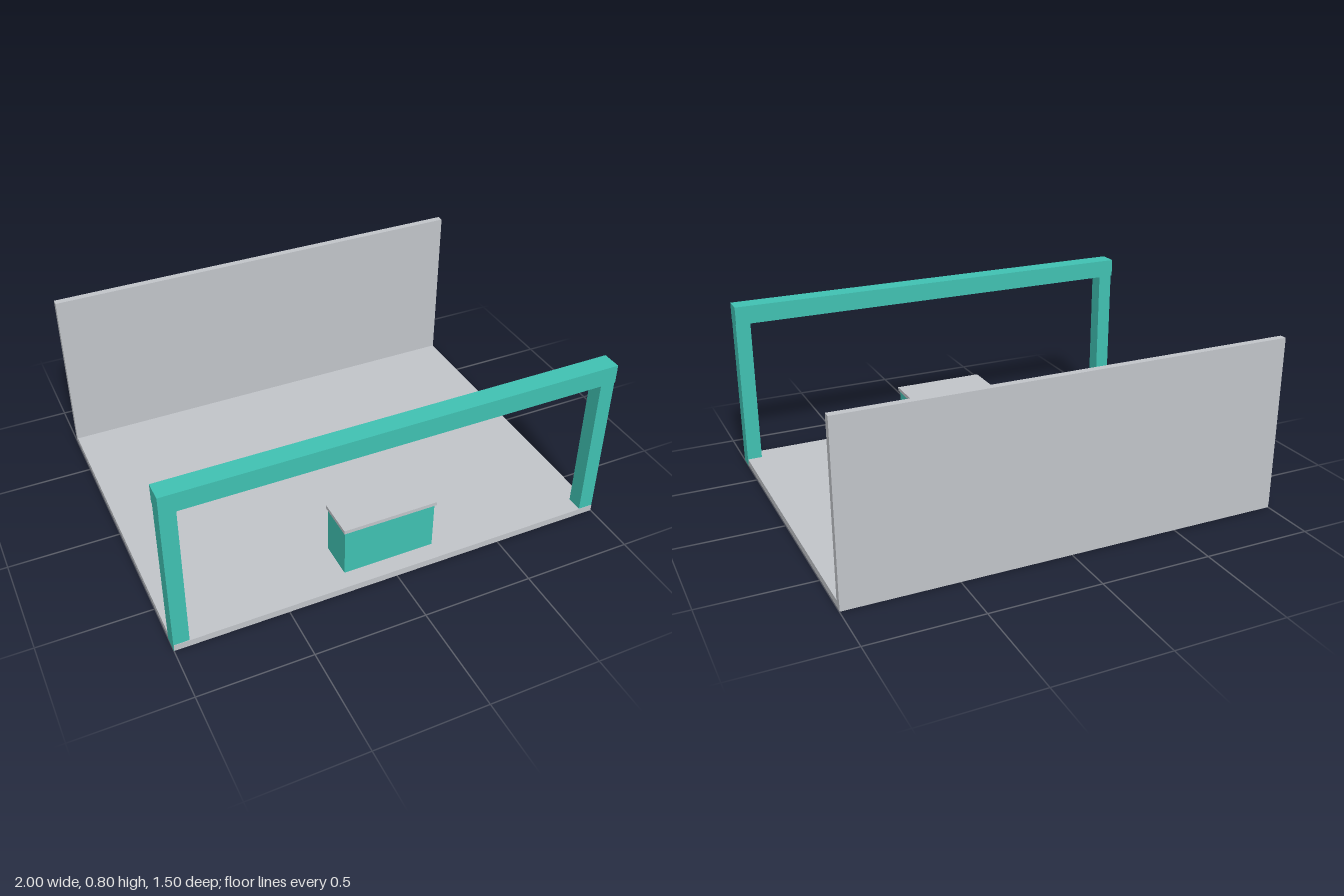
import * as THREE from 'three';

export function createModel() {
  const model = new THREE.Group();
  const grey = new THREE.MeshStandardMaterial({ color: 0xc1c4c9 });
  grey.name = 'light grey';
  const teal = new THREE.MeshStandardMaterial({ color: 0x40c1b2 });
  teal.name = 'teal';

  // Box given by its lower and upper limits on each axis
  function box(name, material, [x0, x1], [y0, y1], [z0, z1], parent = model) {
    const mesh = new THREE.Mesh(new THREE.BoxGeometry(x1 - x0, y1 - y0, z1 - z0), material);
    mesh.position.set((x0 + x1) / 2, (y0 + y1) / 2, (z0 + z1) / 2);
    mesh.name = name;
    parent.add(mesh);
  }

  // Floor slab, a hair inside the post feet so faces never coincide
  box('floor', grey, [-0.999, 0.999], [0.001, 0.032], [-0.752, 0.75]);
  box('backWall', grey, [-1, 1], [0.03, 0.8], [-0.752, -0.72]);

  // Front gate: two posts sunk through the floor, and a beam
  const gate = new THREE.Group();
  gate.name = 'frontFrame';
  model.add(gate);
  box('leftPost', teal, [0.932, 1], [0, 0.72], [0.675, 0.748], gate);
  box('rightPost', teal, [-1, -0.932], [0, 0.72], [0.675, 0.748], gate);
  box('topBeam', teal, [-1, 1], [0.715, 0.8], [0.665, 0.752], gate);

  // Counter with an overhanging top
  const counter = new THREE.Group();
  counter.name = 'counter';
  model.add(counter);
  box('counterBody', teal, [-0.211, 0.211], [0, 0.262], [0.503, 0.668], counter);
  box('counterTop', grey, [-0.218, 0.218], [0.26, 0.277], [0.497, 0.676], counter);

  return model;
}
